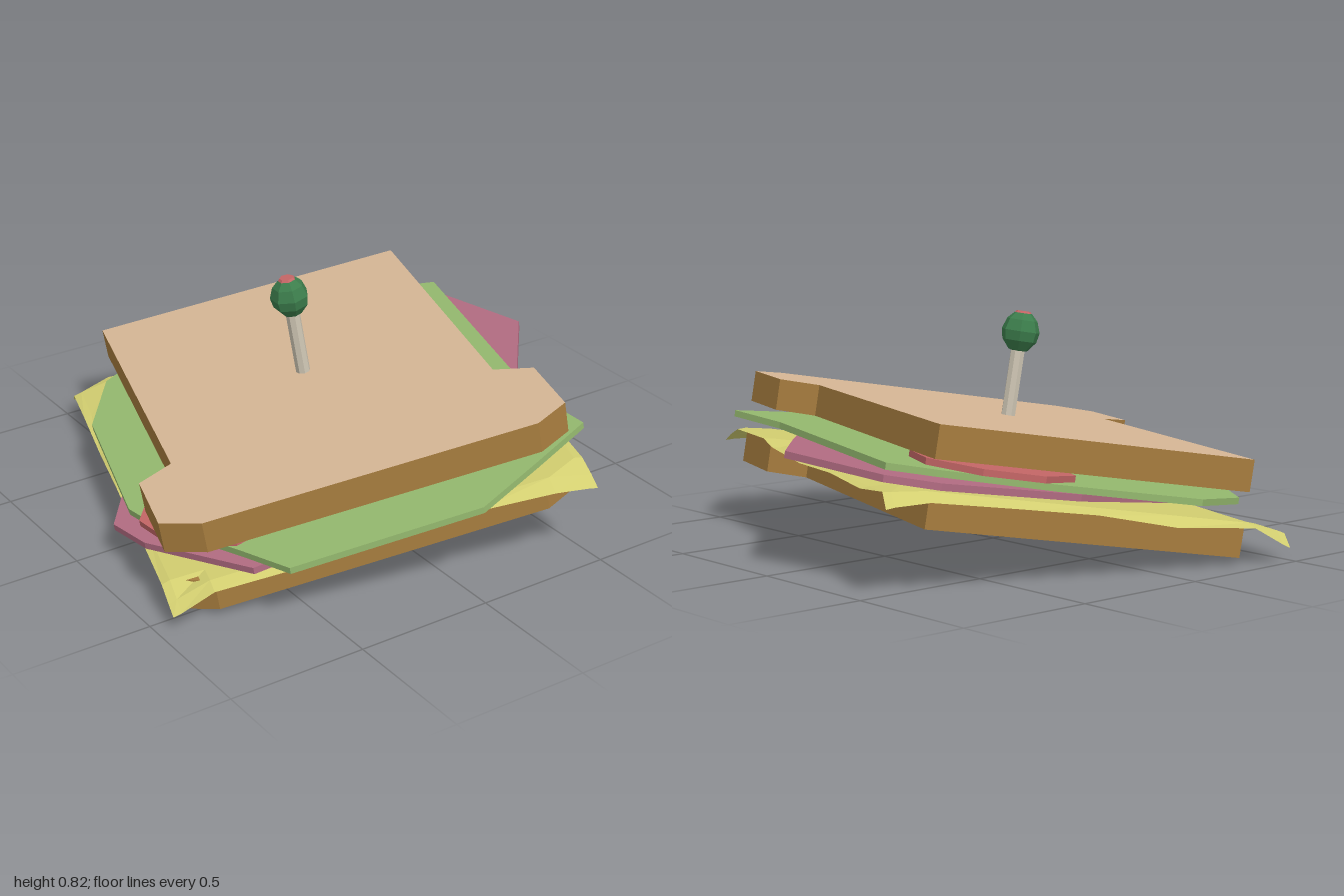
import * as THREE from 'three';

const mat = (color, side = THREE.FrontSide) =>
  new THREE.MeshStandardMaterial({ color, side, flatShading: true });

const CRUMB = mat(0xd6b695), CRUST = mat(0xa67c3e), CHEESE = mat(0xd2ce70, THREE.DoubleSide);
const HAM = mat(0xb26c82), LETTUCE = mat(0x94b86e), TOMATO = mat(0xc46666);
const OLIVE = mat(0x3c7d4c), WOOD = mat(0xcfc6b4);

// Flat slab from an outline of [x, z] points, lying between y and y + thickness
function slab(name, outline, y, thickness, capMaterial, sideMaterial = capMaterial) {
  const shape = new THREE.Shape(outline.map(([x, z]) => new THREE.Vector2(x, -z)));
  const geometry = new THREE.ExtrudeGeometry(shape, { depth: thickness, bevelEnabled: false });
  geometry.rotateX(-Math.PI / 2).translate(0, y, 0);
  const mesh = new THREE.Mesh(geometry, [capMaterial, sideMaterial]);
  mesh.name = name;
  return mesh;
}

// Bread outline: one half mirrored across x, with the loaf's bulge near the front
const half = [[0.587, -0.769], [0.587, 0.344], [0.715, 0.41], [0.715, 0.69], [0.587, 0.767]];
const breadOutline = [...half, ...half.map(([x, z]) => [-x, z]).reverse()];

const hamOutline = [
  [0.72, -0.69], [0.907, -0.27], [0.73, 0.15], [0.53, 0.6], [0.02, 0.75], [-0.46, 0.82],
  [-0.75, 0.48], [-0.82, 0.31], [-0.76, 0.16], [-0.47, -0.45], [0, -0.68], [0.55, -0.77],
];

const lettuceOutline = [
  [-0.38, -0.82], [0.17, -0.828], [0.563, -0.75], [0.72, -0.694], [0.725, 0.32], [0.8, 0.61],
  [0.566, 0.766], [0.31, 0.932], [-0.364, 0.942], [-0.47, 0.775], [-0.72, 0.4],
  [-0.757, 0.308], [-0.75, -0.342], [-0.63, -0.64],
];

// Octagonal tomato slice
function tomato(x, z, turn) {
  const outline = Array.from({ length: 8 }, (_, i) => {
    const a = turn + (i * Math.PI) / 4;
    return [x + 0.277 * Math.cos(a), z + 0.277 * Math.sin(a)];
  });
  return slab('tomatoSlice', outline, 0.314, 0.022, TOMATO);
}

// Thin cheese sheet that sags wherever it hangs past the bread
function cheese() {
  const xs = [-0.75, -0.72, -0.6, -0.3, 0, 0.3, 0.6, 0.72, 0.75];
  const zs = [-0.82, -0.77, -0.58, -0.3, 0, 0.3, 0.4, 0.7, 0.77, 0.82];
  const geometry = new THREE.PlaneGeometry(1, 1, xs.length - 1, zs.length - 1);
  const p = geometry.attributes.position;
  for (let i = 0; i < p.count; i++) {
    const x = xs[i % xs.length], z = zs[Math.floor(i / xs.length)];
    const rim = z > 0.35 && z < 0.72 ? 0.72 : 0.6;
    const overX = Math.max(0, Math.abs(x) - rim) / 0.15;
    const overZ = Math.max(0, Math.abs(z) - 0.77) / 0.05;
    const wave = 0.014 * Math.sin(9 * x + 11 * z);
    const corner = overX * overZ;
    const sag = 0.03 * overX + 0.024 * overZ + 0.012 * corner
      + wave * Math.max(overX, overZ) * (1 - corner);
    p.setXYZ(i, x, 0.238 - sag, z);
  }
  geometry.computeVertexNormals();
  const mesh = new THREE.Mesh(geometry, CHEESE);
  mesh.name = 'cheese';
  return mesh;
}

// Cocktail stick with a stuffed olive on top
function pick() {
  const group = new THREE.Group();
  group.name = 'pick';
  const stick = new THREE.Mesh(new THREE.CylinderGeometry(0.026, 0.026, 0.45, 8), WOOD);
  stick.name = 'stick';
  stick.position.y = 0.475;
  // Faceted olive with an open flat end filled by the pimento
  const profile = [[0, -0.072], [0.035, -0.064], [0.063, -0.03], [0.07, 0.005], [0.056, 0.045], [0.032, 0.069]];
  const olive = new THREE.Mesh(
    new THREE.LatheGeometry(profile.map(([r, y]) => new THREE.Vector2(r, y)), 7), OLIVE);
  olive.name = 'olive';
  const pimento = new THREE.Mesh(new THREE.CylinderGeometry(0.025, 0.032, 0.008, 7), TOMATO);
  pimento.name = 'pimento';
  olive.position.y = 0.753;
  pimento.position.y = 0.825;
  group.add(stick, olive, pimento);
  group.position.z = -0.03;
  return group;
}

export function createModel() {
  const sandwich = new THREE.Group();
  sandwich.name = 'sandwich';
  sandwich.add(
    slab('bottomBread', breadOutline, 0.115, 0.115, CRUST),
    cheese(),
    slab('ham', hamOutline, 0.243, 0.024, HAM),
    slab('lettuce', lettuceOutline, 0.284, 0.023, LETTUCE),
    tomato(0.317, -0.625, 0.53),
    tomato(-0.47, 0.46, 0.05),
    slab('topBread', breadOutline, 0.342, 0.112, CRUMB, CRUST),
    pick(),
  );
  // The whole sandwich is turned and lies tilted on one edge
  sandwich.rotation.set(0, -0.297, 0.162, 'YXZ');
  sandwich.position.set(0.026, 0.005, 0.008);
  const model = new THREE.Group();
  model.name = 'model';
  model.add(sandwich);
  return model;
}
